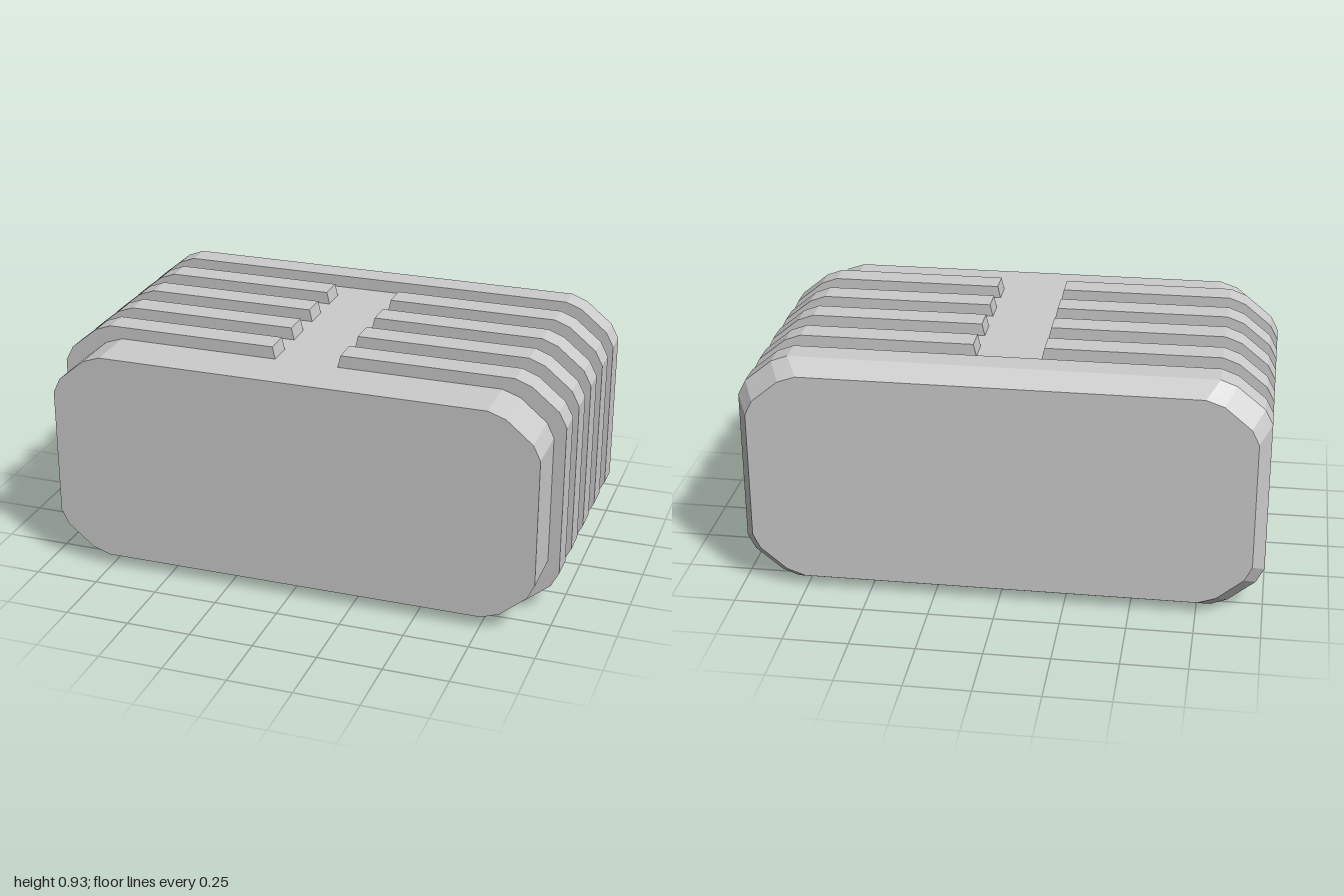
import * as THREE from 'three';

const MID = 0.466;
const BACK = -0.607, CAP_EDGE = -0.525, CAP_FRONT = -0.423, FRONT = 0.607;
const RIB_WIDTH = 0.103;
const RIB_STARTS = [0.297, 0.092, -0.113, -0.32];

// upper right corners, measured from the centre of the outline
const OUTER = [[1, 0.299], [0.97, 0.357], [0.866, 0.442], [0.803, 0.466]];
const INNER = [[0.955, 0.252], [0.927, 0.309], [0.825, 0.394], [0.756, 0.418]];

const material = new THREE.MeshStandardMaterial({ color: 0xcccccc, flatShading: true });

const vec = (x, y) => new THREE.Vector2(x, MID + y);

// right-hand half of an outline, counter-clockwise from bottom to top
function halfOutline(corner) {
  const lower = corner.map(([x, y]) => vec(x, -y)).reverse();
  return [...lower, ...corner.map(([x, y]) => vec(x, y))];
}

const mirrorX = (points) => points.map((p) => new THREE.Vector2(-p.x, p.y));

function fullOutline(corner) {
  const half = halfOutline(corner);
  return [...half, ...mirrorX(half).reverse()];
}

function extrude(points, z0, z1) {
  const geometry = new THREE.ExtrudeGeometry(new THREE.Shape(points), {
    depth: z1 - z0,
    bevelEnabled: false,
  });
  return geometry.translate(0, 0, z0);
}

// joins convex outlines ordered from back to front and closes both ends
function loft(sections) {
  const positions = [];
  const put = ({ points, z }, i) => {
    const p = points[i % points.length];
    positions.push(p.x, p.y, z);
  };
  const n = sections[0].points.length;
  for (let s = 0; s < sections.length - 1; s++) {
    const a = sections[s], b = sections[s + 1];
    for (let i = 0; i < n; i++) {
      put(a, i); put(a, i + 1); put(b, i + 1);
      put(a, i); put(b, i + 1); put(b, i);
    }
  }
  const first = sections[0], last = sections[sections.length - 1];
  for (let i = 1; i < n - 1; i++) {
    put(first, 0); put(first, i + 1); put(first, i);
    put(last, 0); put(last, i); put(last, i + 1);
  }
  const geometry = new THREE.BufferGeometry();
  geometry.setAttribute('position', new THREE.Float32BufferAttribute(positions, 3));
  geometry.computeVertexNormals();
  return geometry;
}

export function createModel() {
  const model = new THREE.Group();
  model.name = 'ribbedBlock';

  const add = (geometry, name) => {
    const mesh = new THREE.Mesh(geometry, material);
    mesh.name = name;
    model.add(mesh);
  };

  // main body
  const inner = fullOutline(INNER), outer = fullOutline(OUTER);
  add(extrude(inner, CAP_FRONT, FRONT), 'body');

  // wider back cap with a bevelled rear edge
  add(loft([
    { points: inner, z: BACK },
    { points: outer, z: CAP_EDGE },
    { points: outer, z: CAP_FRONT },
  ]), 'backCap');

  // C-shaped grip ribs wrapping each side, with sloped ends
  const rib = [
    vec(0.135, -0.466), ...halfOutline(OUTER), vec(0.135, 0.466),
    vec(0.124, 0.418), ...halfOutline(INNER).reverse(), vec(0.124, -0.418),
  ];
  RIB_STARTS.forEach((z, i) => {
    add(extrude(rib, z, z + RIB_WIDTH), `leftRib${i + 1}`);
    add(extrude(mirrorX(rib), z, z + RIB_WIDTH), `rightRib${i + 1}`);
  });

  return model;
}
